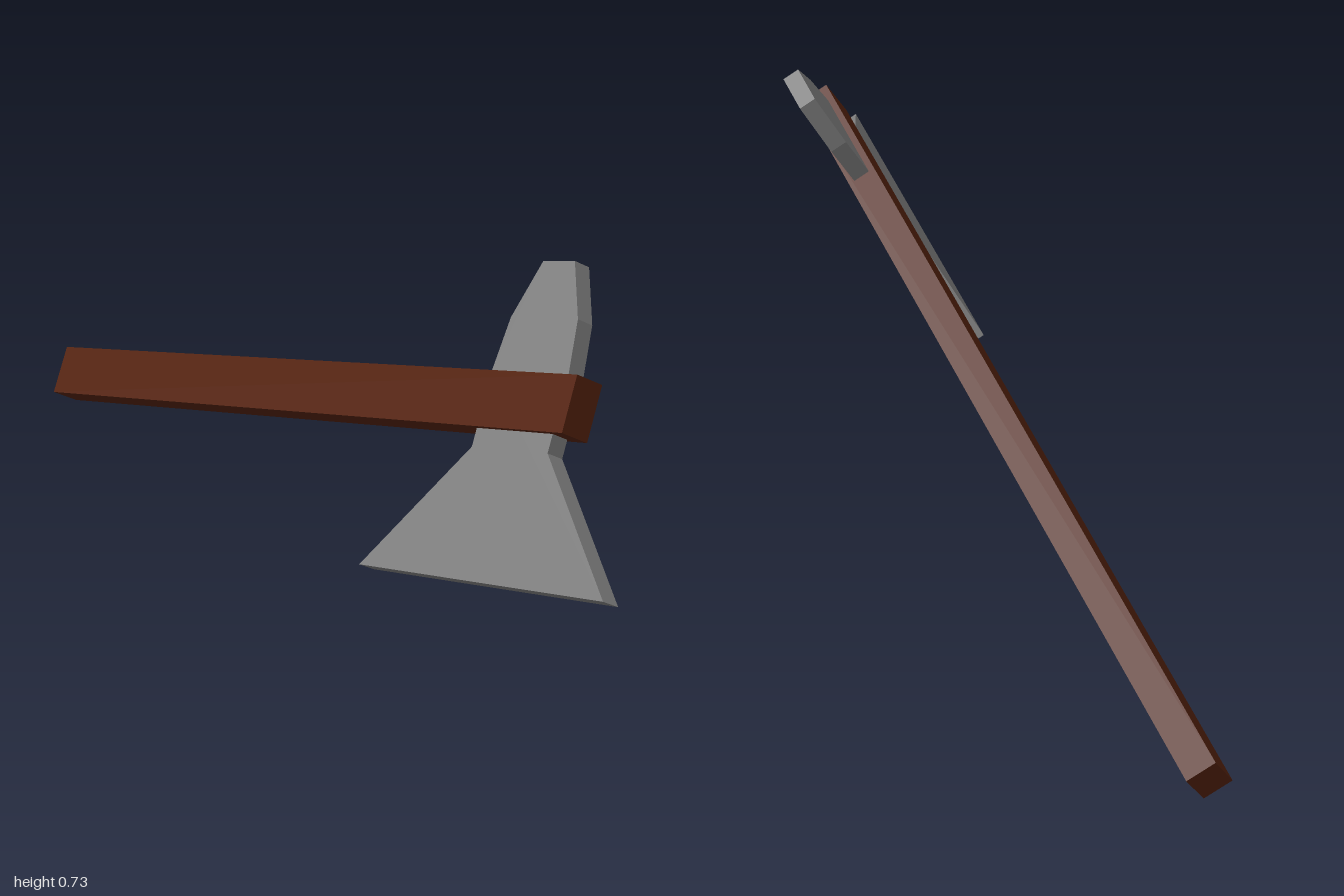
import * as THREE from 'three';

export function createModel() {
  const model = new THREE.Group();
  model.name = 'axe';

  const wood = new THREE.MeshStandardMaterial({ color: 0x54220e, flatShading: true });
  wood.name = 'brown wood';
  const steel = new THREE.MeshStandardMaterial({ color: 0x7f7f7f, flatShading: true });
  steel.name = 'grey steel';

  // Tilted axe frame: local +x runs along the handle to the head, local +y to the poll
  const axe = new THREE.Group();
  axe.name = 'tiltedAxe';
  axe.position.set(0.014, 0.29, -0.1275);
  axe.rotation.set(-Math.PI / 6, -Math.PI / 2, Math.PI / 12, 'YZX');
  model.add(axe);

  // Handle: one straight rectangular bar
  const handle = new THREE.Mesh(new THREE.BoxGeometry(1.775, 0.108, 0.062), wood);
  handle.name = 'handle';
  axe.add(handle);

  // Head: [half width, height] from cutting edge to poll, mirrored about its centre line
  const half = [[0.347, -0.337], [0.107, -0.09], [0.108, 0.055], [0.094, 0.16], [0.044, 0.27]];
  const outline = [
    ...half.map(([w, h]) => new THREE.Vector2(w, h)),
    ...half.map(([w, h]) => new THREE.Vector2(-w, h)).reverse(),
  ];
  const thickness = 0.036;
  const headGeometry = new THREE.ExtrudeGeometry(new THREE.Shape(outline), {
    depth: thickness,
    bevelEnabled: false,
  });
  headGeometry.translate(0, 0, -thickness / 2);
  const head = new THREE.Mesh(headGeometry, steel);
  head.name = 'axeHead';
  head.position.x = 0.741;
  axe.add(head);

  return model;
}
